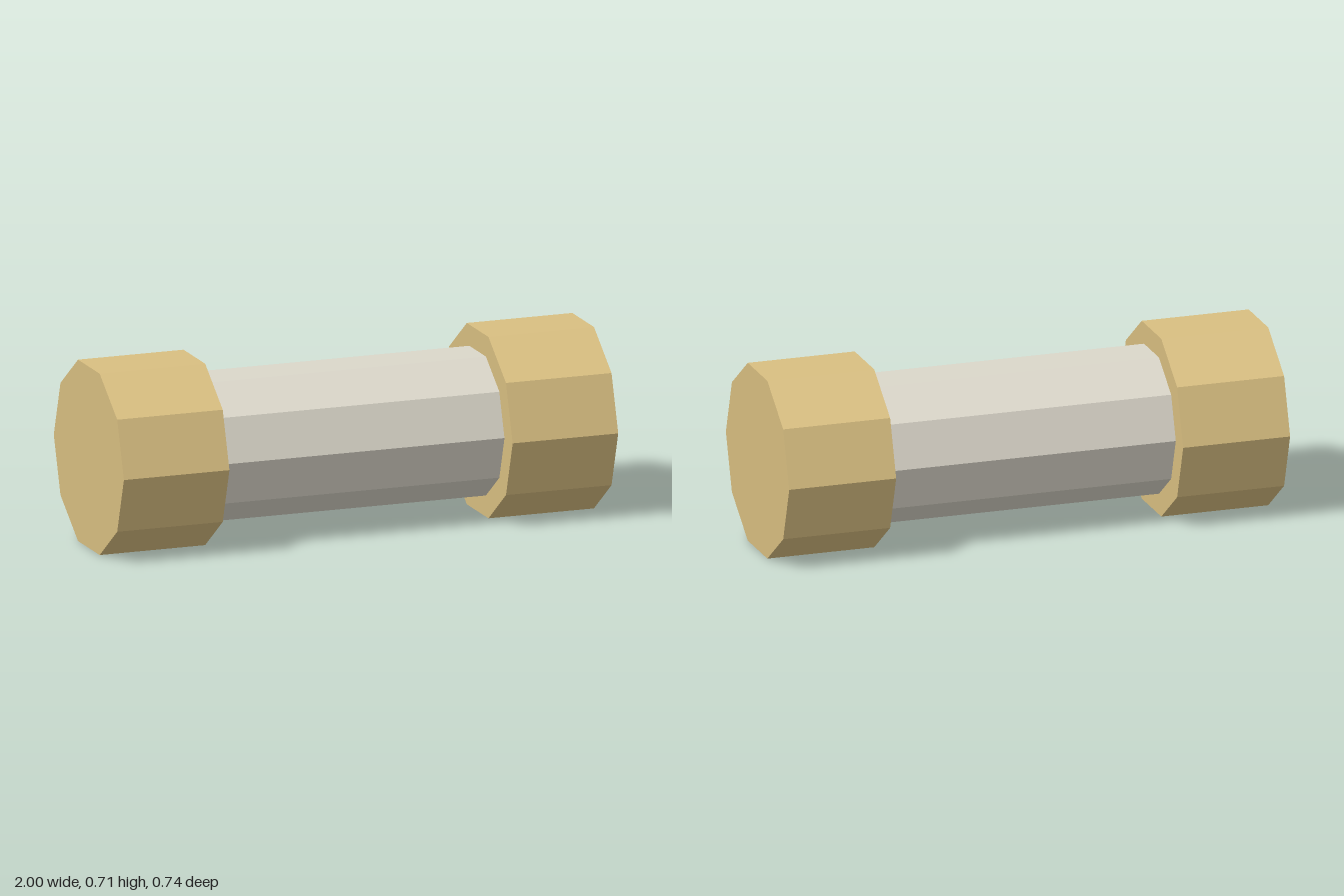
import * as THREE from 'three';

const SIDES = 10;
const CAP_RADIUS = 0.372;
const CAP_INNER = 0.573; // x where each cap meets the tube
const AXIS_Y = CAP_RADIUS * Math.cos(Math.PI / SIDES); // rests on a flat side

export function createModel() {
  const gold = new THREE.MeshStandardMaterial({ color: 0xd9bf81, flatShading: true });
  gold.name = 'brassGold';
  const pale = new THREE.MeshStandardMaterial({ color: 0xdbd7ca, flatShading: true });
  pale.name = 'paleGrey';

  const group = new THREE.Group();
  group.name = 'cappedTube';

  // Ten-sided prism lying along x, with corners at +z and -z
  const addPrism = (name, radius, length, x, material) => {
    const geometry = new THREE.CylinderGeometry(radius, radius, length, SIDES);
    geometry.rotateZ(Math.PI / 2);
    const mesh = new THREE.Mesh(geometry, material);
    mesh.name = name;
    mesh.position.set(x, AXIS_Y, 0);
    group.add(mesh);
  };

  // Central tube
  addPrism('tube', 0.285, CAP_INNER * 2, 0, pale);

  // End caps
  for (const [name, side] of [['leftCap', 1], ['rightCap', -1]]) {
    addPrism(name, CAP_RADIUS, 1 - CAP_INNER, side * (1 + CAP_INNER) / 2, gold);
  }

  return group;
}
